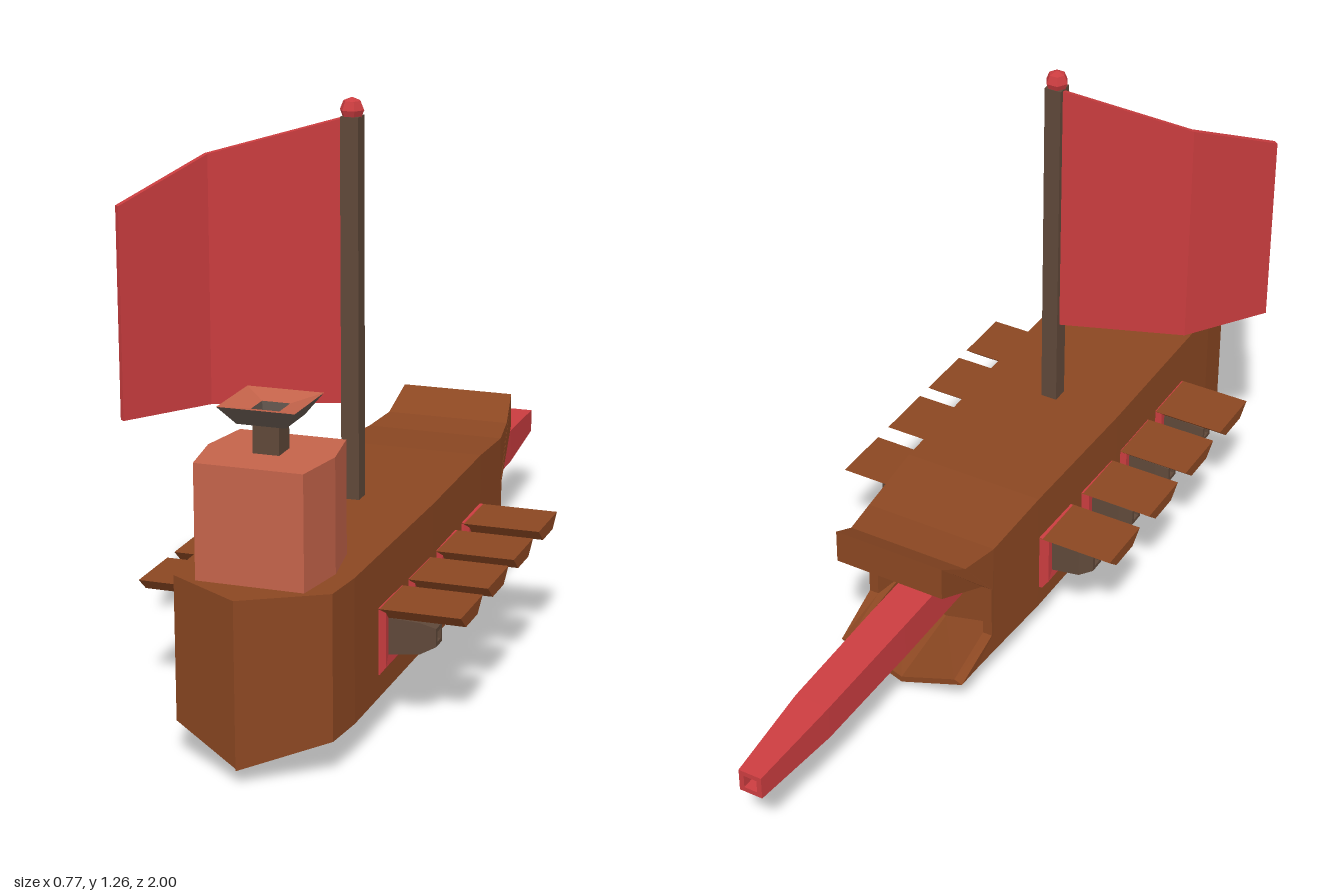
import * as THREE from 'three';

const mat = (name, color) => Object.assign(new THREE.MeshStandardMaterial({ color }), { name });
const CX = 0.03; // centre line of the boat

// Faceted normals
function flat(geo) {
  const g = geo.index ? geo.toNonIndexed() : geo;
  g.computeVertexNormals();
  return g;
}

// Square-section turned part; the profile holds [half width, height]
function squareLathe(profile) {
  const pts = profile.map(([h, y]) => new THREE.Vector2(h * Math.SQRT2, y));
  return flat(new THREE.LatheGeometry(pts, 4, Math.PI / 4));
}

// Skin over rings of [x, y, z], with the last ring closed
function loft(rings) {
  const n = rings[0].length, idx = [];
  for (let i = 0; i < rings.length - 1; i++) {
    for (let j = 0; j < n; j++) {
      const k = (j + 1) % n, a = i * n + j, b = i * n + k;
      idx.push(a, a + n, b + n, a, b + n, b);
    }
  }
  const last = (rings.length - 1) * n;
  for (let j = 1; j < n - 1; j++) idx.push(last, last + j + 1, last + j);
  const g = new THREE.BufferGeometry();
  g.setAttribute('position', new THREE.Float32BufferAttribute(rings.flat(2), 3));
  g.setIndex(idx);
  return flat(g);
}

// Mirrors a half ring (keel first, then up the side)
function mirrorRing(half) {
  const other = half.slice(1).reverse().map(([x, y, z]) => [-x, y, z]);
  return [...half, ...other];
}

export function createModel() {
  const root = new THREE.Group();
  root.name = 'boat';
  const wood = mat('brown wood', 0x8b4722);
  const red = mat('red', 0xcb3d40);
  const clay = mat('terracotta', 0xc4634a);
  const iron = mat('dark brown', 0x5f4839);
  const grey = mat('grey brown', 0x62564e);

  const add = (parent, name, geo, material, x = 0, y = 0, z = 0) => {
    const m = new THREE.Mesh(geo, material);
    m.name = name;
    m.position.set(x, y, z);
    parent.add(m);
    return m;
  };

  // Hull sections: z, half width, keel y, chine y, deck y
  const sections = [
    [1.0, 0, 0.035, 0.04, 0.39],
    [0.9, 0.168, 0.022, 0.08, 0.39],
    [0.8, 0.178, 0.01, 0.08, 0.39],
    [0.3, 0.18, 0.003, 0.08, 0.39],
    [-0.07, 0.172, 0.02, 0.075, 0.39],
    [-0.26, 0.163, 0.02, 0.077, 0.375],
  ].map(([z, w, k, c, t]) => mirrorRing([
    [0, k, z], [w, c, z], [w, 0.13, z], [w, 0.26, z], [w, t, z],
  ]));
  // Open stern with a raised upper lip and a lower lip
  const lip = [
    mirrorRing([[0, 0.02, -0.34], [0.16, 0.078, -0.34], [0.163, 0.13, -0.265],
      [0.163, 0.262, -0.265], [0.148, 0.383, -0.36]]),
    mirrorRing([[0, 0.02, -0.4], [0.16, 0.08, -0.4], [0.163, 0.13, -0.27],
      [0.163, 0.265, -0.27], [0.135, 0.432, -0.44]]),
    mirrorRing([[0, 0.035, -0.4], [0.14, 0.088, -0.4], [0.14, 0.13, -0.27],
      [0.14, 0.265, -0.27], [0.135, 0.35, -0.44]]),
    mirrorRing([[0, 0.07, -0.2], [0.12, 0.1, -0.2], [0.12, 0.14, -0.2],
      [0.12, 0.25, -0.2], [0.12, 0.31, -0.2]]),
  ];
  add(root, 'hull', loft([...sections, ...lip]), wood, CX);

  // Long hollow tube out of the stern
  const tube = squareLathe([[0.045, 0.19], [0.045, 0.45], [0.042, 0.76], [0.028, 1],
    [0.016, 1], [0.016, 0.92], [0, 0.92]]);
  tube.rotateX(-Math.PI / 2);
  add(root, 'sternTube', tube, red, CX, 0.2);

  // Bow tower
  const plan = new THREE.Shape([[-0.115, -0.915], [0.115, -0.915], [0.135, -0.79],
    [0.115, -0.67], [-0.115, -0.67], [-0.135, -0.79]].map(p => new THREE.Vector2(...p)));
  const tower = new THREE.ExtrudeGeometry(plan, { depth: 0.25, bevelEnabled: false });
  tower.rotateX(-Math.PI / 2);
  add(root, 'tower', flat(tower), clay, CX, 0.383);

  // Bowl on a short post
  const bowl = new THREE.Group();
  bowl.name = 'bowl';
  bowl.position.set(CX, 0, 0.79);
  root.add(bowl);
  add(bowl, 'bowlPost', squareLathe([[0.028, 0.62], [0.028, 0.7]]), iron);
  add(bowl, 'bowlOutside', squareLathe([[0, 0.698], [0.052, 0.698], [0.082, 0.738]]), grey);
  add(bowl, 'bowlInside', squareLathe([[0.082, 0.738], [0.03, 0.725]]), clay);
  add(bowl, 'bowlWell', squareLathe([[0.03, 0.725], [0.028, 0.702], [0, 0.702]]), grey);

  // Mast and its knob
  add(root, 'mast', flat(new THREE.BoxGeometry(0.04, 0.84, 0.04)), iron, CX, 0.805, 0.31);
  add(root, 'mastKnob', flat(new THREE.SphereGeometry(0.027, 6, 4)), red, CX, 1.238, 0.31);

  // Two-panel sail: x, z, top y
  const sailRings = [[0.015, 0.305, 1.222], [-0.26, 0.41, 1.145], [-0.385, 0.59, 1.06]]
    .map(([x, z, t]) => [[x - 0.005, 0.6, z - 0.004], [x + 0.005, 0.6, z + 0.004],
      [x + 0.005, t, z + 0.004], [x - 0.005, t, z - 0.004]]);
  const sail = add(root, 'sail', loft(sailRings), red);
  sail.material = mat('sail red', 0xc83c3e);
  sail.material.side = THREE.DoubleSide;

  // Gun ports: frame, barrel and raised lid, four on each side
  const frameGeo = squareLathe([[0.073, 0.16], [0.073, 0.18], [0.06, 0.19], [0, 0.184]]);
  const barrelGeo = squareLathe([[0.042, 0.17], [0.034, 0.255], [0.02, 0.285],
    [0.011, 0.285], [0.011, 0.24], [0, 0.24]]);
  for (const g of [frameGeo, barrelGeo]) g.rotateZ(-Math.PI / 2);
  const lidShape = new THREE.Shape([[-0.04, 0.245], [0.04, 0.245], [0.075, 0.275], [-0.075, 0.275]]
    .map(p => new THREE.Vector2(...p)));
  const lidGeo = flat(new THREE.ExtrudeGeometry(lidShape, { depth: 0.19, bevelEnabled: false }));
  lidGeo.rotateY(Math.PI / 2);
  for (const side of [1, -1]) {
    for (const z of [0.583, 0.395, 0.205, 0.008]) {
      const port = new THREE.Group();
      port.name = side > 0 ? 'leftGunPort' : 'rightGunPort';
      port.position.set(CX, 0, z);
      port.rotation.y = side > 0 ? 0 : Math.PI;
      root.add(port);
      add(port, 'portFrame', frameGeo, red, 0, 0.203);
      add(port, 'barrel', barrelGeo, iron, 0, 0.205);
      add(port, 'portLid', lidGeo, wood, 0.165);
    }
  }
  return root;
}
